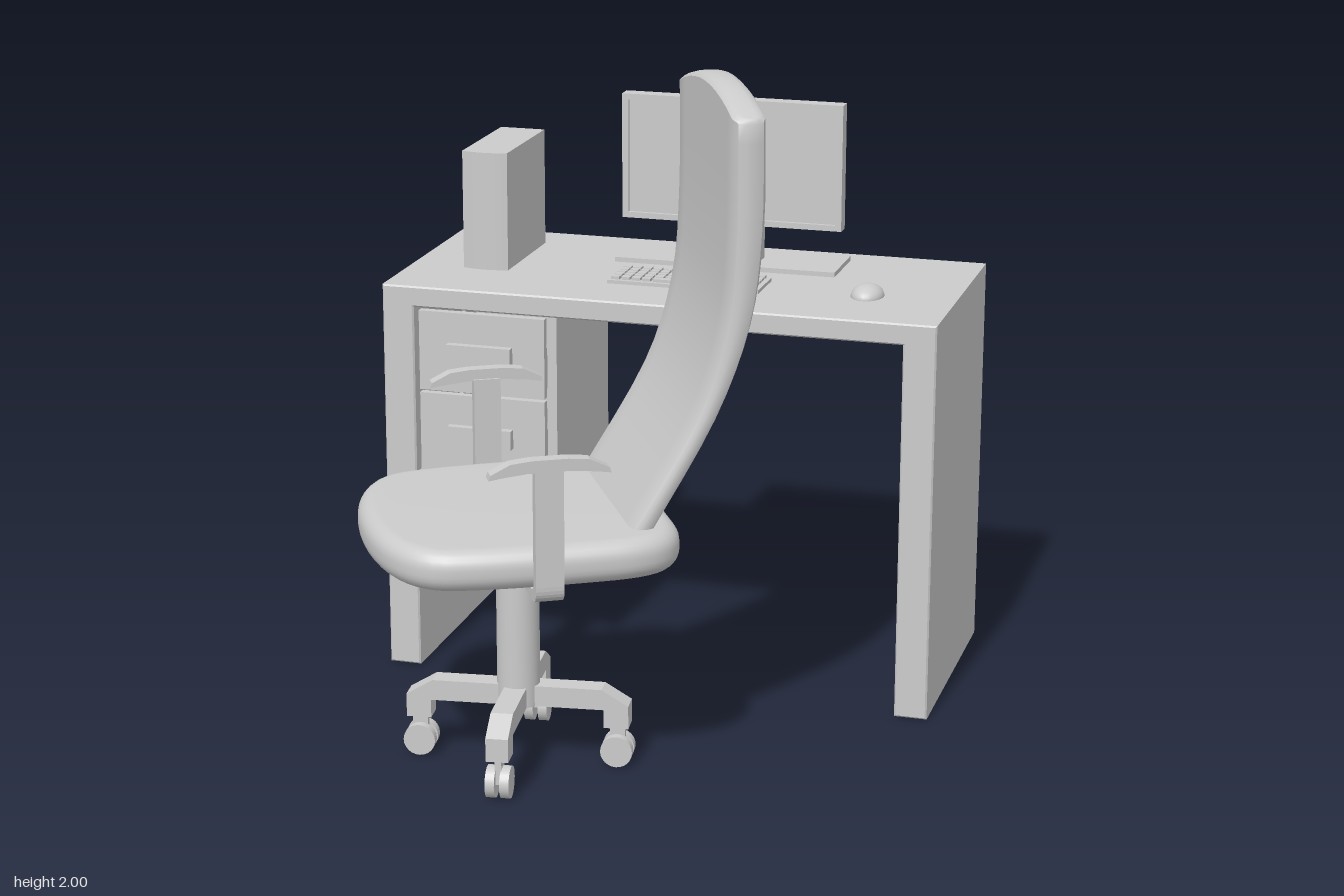
import * as THREE from 'three';
import { toCreasedNormals } from 'three/addons/utils/BufferGeometryUtils.js';

const material = new THREE.MeshStandardMaterial({ color: 0xcccccc, side: THREE.DoubleSide });

function add(parent, name, geometry) {
  const mesh = new THREE.Mesh(geometry, material);
  mesh.name = name;
  parent.add(mesh);
  return mesh;
}

function group(parent, name) {
  const g = new THREE.Group();
  g.name = name;
  parent.add(g);
  return g;
}

// Box given by its lower and upper limits
function box(parent, name, [x0, x1], [y0, y1], [z0, z1]) {
  const mesh = add(parent, name, new THREE.BoxGeometry(x1 - x0, y1 - y0, z1 - z0));
  mesh.position.set((x0 + x1) / 2, (y0 + y1) / 2, (z0 + z1) / 2);
  return mesh;
}

const polygon = (points) => new THREE.Shape(points.map(([x, y]) => new THREE.Vector2(x, y)));

// Extrusion centred on its depth
function slab(shape, depth, curveSegments = 8) {
  return new THREE.ExtrudeGeometry(shape, { depth, bevelEnabled: false, curveSegments }).translate(0, 0, -depth / 2);
}

function makeDesk(parent) {
  const desk = group(parent, 'desk');
  const outline = polygon([[-0.86, 0], [-0.76, 0], [-0.76, 1.165], [0.76, 1.165],
    [0.76, 0], [0.86, 0], [0.86, 1.23], [-0.86, 1.23]]);
  const frame = new THREE.ExtrudeGeometry(outline, {
    depth: 0.77, bevelSize: 0.005, bevelThickness: 0.005, bevelOffset: -0.005, bevelSegments: 1 });
  add(desk, 'deskFrame', frame.translate(0, 0, -0.935));

  // Cabinet, open at the back, hung under the top
  const cabinet = group(desk, 'drawerCabinet');
  box(cabinet, 'cabinetSide', [-0.335, -0.305], [0.605, 1.165], [-0.7, -0.17]);
  box(cabinet, 'cabinetBottom', [-0.76, -0.305], [0.605, 0.635], [-0.7, -0.17]);
  for (const [y0, y1] of [[0.645, 0.895], [0.905, 1.155]]) {
    const drawer = group(cabinet, 'drawer');
    box(drawer, 'drawerFront', [-0.745, -0.343], [y0, y1], [-0.19, -0.165]);
    box(drawer, 'drawerBottom', [-0.74, -0.35], [y0 + 0.02, y0 + 0.03], [-0.65, -0.19]);
    box(drawer, 'drawerBack', [-0.74, -0.35], [y0 + 0.02, y0 + 0.15], [-0.66, -0.65]);
    for (const x of [-0.74, -0.36]) {
      box(drawer, 'drawerSide', [x, x + 0.01], [y0 + 0.02, y0 + 0.15], [-0.65, -0.19]);
    }
    box(drawer, 'drawerHandle', [-0.65, -0.445], [y0 + 0.095, y0 + 0.155], [-0.166, -0.14]);
  }
}

function makeComputer(parent) {
  // Monitor with a raised bezel
  const monitor = group(parent, 'monitor');
  box(monitor, 'monitorBase', [-0.26, 0.445], [1.23, 1.245], [-0.85, -0.63]);
  box(monitor, 'monitorNeck', [0, 0.19], [1.245, 1.36], [-0.76, -0.715]);
  box(monitor, 'monitorPanel', [-0.26, 0.445], [1.355, 1.75], [-0.76, -0.722]);
  const rect = (x0, x1, y0, y1) => polygon([[x0, y0], [x1, y0], [x1, y1], [x0, y1]]);
  const bezel = rect(-0.26, 0.445, 1.355, 1.75);
  bezel.holes.push(rect(-0.24, 0.425, 1.373, 1.732));
  add(monitor, 'monitorBezel', slab(bezel, 0.012)).position.z = -0.716;

  // Tower with a bowed front
  const tower = group(parent, 'computerTower');
  box(tower, 'towerCase', [-0.69, -0.545], [1.23, 1.6], [-0.8, -0.435]);
  const bow = new THREE.Shape();
  bow.moveTo(-0.69, -0.435);
  bow.lineTo(-0.545, -0.435);
  bow.lineTo(-0.545, -0.428);
  bow.quadraticCurveTo(-0.6175, -0.405, -0.69, -0.428);
  add(tower, 'towerFront', slab(bow, 0.37).rotateX(Math.PI / 2)).position.y = 1.415;

  // Keyboard with rows of keys and a space bar
  const keyboard = group(parent, 'keyboard');
  box(keyboard, 'keyboardBase', [-0.205, 0.27], [1.23, 1.241], [-0.535, -0.365]);
  for (let row = 0; row < 5; row++) {
    const z = -0.527 + row * 0.031;
    for (let col = 0; col < 14; col++) {
      if (row === 4 && col > 3 && col < 10) continue;
      const x = -0.196 + col * 0.0327;
      box(keyboard, 'key', [x, x + 0.026], [1.241, 1.25], [z, z + 0.025]);
    }
  }
  box(keyboard, 'spaceBar', [-0.065, 0.125], [1.241, 1.25], [-0.403, -0.378]);

  // Mouse: half an egg
  const dome = new THREE.SphereGeometry(1, 24, 10, 0, Math.PI * 2, 0, Math.PI / 2);
  const mouse = add(parent, 'mouse', dome);
  mouse.scale.set(0.05, 0.037, 0.068);
  mouse.position.set(0.59, 1.23, -0.445);
}

// Rounded slab running up a curved side profile, with an arched top
function backrestGeometry() {
  const w = 0.32;
  const rows = [[0.7, -0.215, -0.285], [0.785, -0.263, -0.335], [1.09, -0.445, -0.51],
    [1.35, -0.528, -0.607], [1.62, -0.55, -0.643], [1.92, -0.55, -0.644]];
  const spline = (k) => new THREE.SplineCurve(rows.map((r) => new THREE.Vector2(r[0], r[k])));
  const front = spline(1), back = spline(2);
  const half = [[-w, 0.65], [-w, 0.35], [-w + 0.008, 0.12]];
  for (let i = 0; i <= 10; i++) half.push([(i / 5 - 1) * (w - 0.03), 0]);
  half.push([w - 0.008, 0.12]);
  const ring = half.concat(half.map(([x, u]) => [-x, 1 - u]));
  const n = ring.length, steps = 20, positions = [], index = [];
  // Last three rings round the top over and close it
  const levels = [...Array(steps + 1).keys()].map((i) => [i / steps, 1, 1, 0]);
  levels.push([1, 0.985, 0.75, 0.012], [1, 0.97, 0.4, 0.016], [1, 0.96, 0, 0.017]);
  levels.forEach(([t, sx, su, lift], i) => {
    const f = front.getPoint(t), b = back.getPoint(t);
    const arch = 0.063 * Math.max(0, (f.x - 1.62) / 0.3) ** 2;
    ring.forEach(([x, u], j) => {
      positions.push(x * sx, f.x + lift + arch * (1 - (x / w) ** 2),
        THREE.MathUtils.lerp(f.y, b.y, 0.5 + (u - 0.5) * su));
      if (i === 0) return;
      const p = (i - 1) * n, q = i * n, k = (j + 1) % n;
      index.push(p + j, p + k, q + k, p + j, q + k, q + j);
    });
  });
  const geometry = new THREE.BufferGeometry();
  geometry.setAttribute('position', new THREE.Float32BufferAttribute(positions, 3));
  geometry.setIndex(index);
  return toCreasedNormals(geometry, 0.6);
}

function makeChair(parent) {
  const chair = group(parent, 'chair');
  chair.position.set(-0.227, 0, 0.45);
  const upper = group(chair, 'chairUpper');
  upper.rotation.y = -Math.PI / 3;

  // Cushion, bowed at the front
  const plan = new THREE.Shape();
  plan.moveTo(0, 0.447);
  plan.bezierCurveTo(0.2, 0.447, 0.36, 0.4, 0.395, 0.28);
  plan.bezierCurveTo(0.42, 0.18, 0.425, 0, 0.42, -0.2);
  plan.bezierCurveTo(0.415, -0.34, 0.36, -0.415, 0.22, -0.415);
  plan.lineTo(-0.22, -0.415);
  plan.bezierCurveTo(-0.36, -0.415, -0.415, -0.34, -0.42, -0.2);
  plan.bezierCurveTo(-0.425, 0, -0.42, 0.18, -0.395, 0.28);
  plan.bezierCurveTo(-0.36, 0.4, -0.2, 0.447, 0, 0.447);
  const cushion = new THREE.ExtrudeGeometry(plan, { depth: 0.02, bevelSize: 0.05,
    bevelThickness: 0.05, bevelOffset: -0.05, bevelSegments: 6, curveSegments: 10 });
  add(upper, 'seat', toCreasedNormals(cushion.rotateX(Math.PI / 2), 0.7)).position.y = 0.735;
  add(upper, 'backrest', backrestGeometry());

  // Armrests: a bent bracket carrying an arched pad
  const bracket = new THREE.Shape();
  bracket.moveTo(0.31, 0.637);
  bracket.lineTo(0.41, 0.637);
  bracket.quadraticCurveTo(0.46, 0.637, 0.46, 0.69);
  bracket.lineTo(0.46, 1.03);
  bracket.lineTo(0.425, 1.03);
  bracket.lineTo(0.425, 0.7);
  bracket.quadraticCurveTo(0.425, 0.667, 0.39, 0.667);
  bracket.lineTo(0.31, 0.667);
  const pad = polygon([[-0.17, 1.012], [-0.13, 1.018], [-0.06, 1.025], [0.06, 1.025], [0.13, 1.018],
    [0.17, 1.012], [0.165, 1.027], [0.11, 1.054], [0.05, 1.06], [-0.05, 1.06], [-0.11, 1.054], [-0.165, 1.027]]);
  for (const side of [1, -1]) {
    const arm = group(upper, side > 0 ? 'leftArmrest' : 'rightArmrest');
    arm.rotation.y = side > 0 ? 0 : Math.PI;
    add(arm, 'armBracket', slab(bracket, 0.08));
    add(arm, 'armPad', slab(pad, 0.04).rotateY(Math.PI / 2)).position.x = 0.453;
  }

  // Column and four-armed base on casters
  const base = group(chair, 'chairBase');
  base.rotation.y = 0.13;
  add(base, 'column', new THREE.CylinderGeometry(0.0625, 0.0625, 0.5, 32)).position.y = 0.425;
  const leg = polygon([[0, 0.175], [0.255, 0.175], [0.255, 0.12], [0.328, 0.12],
    [0.328, 0.19], [0.25, 0.237], [0, 0.237]]);
  for (let i = 0; i < 4; i++) {
    const foot = group(base, 'baseLeg');
    foot.rotation.y = i * Math.PI / 2;
    add(foot, 'legArm', slab(leg, 0.065));
    box(foot, 'casterFork', [0.27, 0.315], [0.045, 0.125], [-0.01, 0.01]);
    for (const z of [-0.021, 0.021]) {
      const wheel = add(foot, 'casterWheel', new THREE.CylinderGeometry(0.047, 0.047, 0.027, 24).rotateX(Math.PI / 2));
      wheel.position.set(0.292, 0.047, z);
    }
  }
}

export function createModel() {
  const model = new THREE.Group();
  model.name = 'computerWorkstation';
  makeDesk(model);
  makeComputer(model);
  makeChair(model);
  return model;
}
